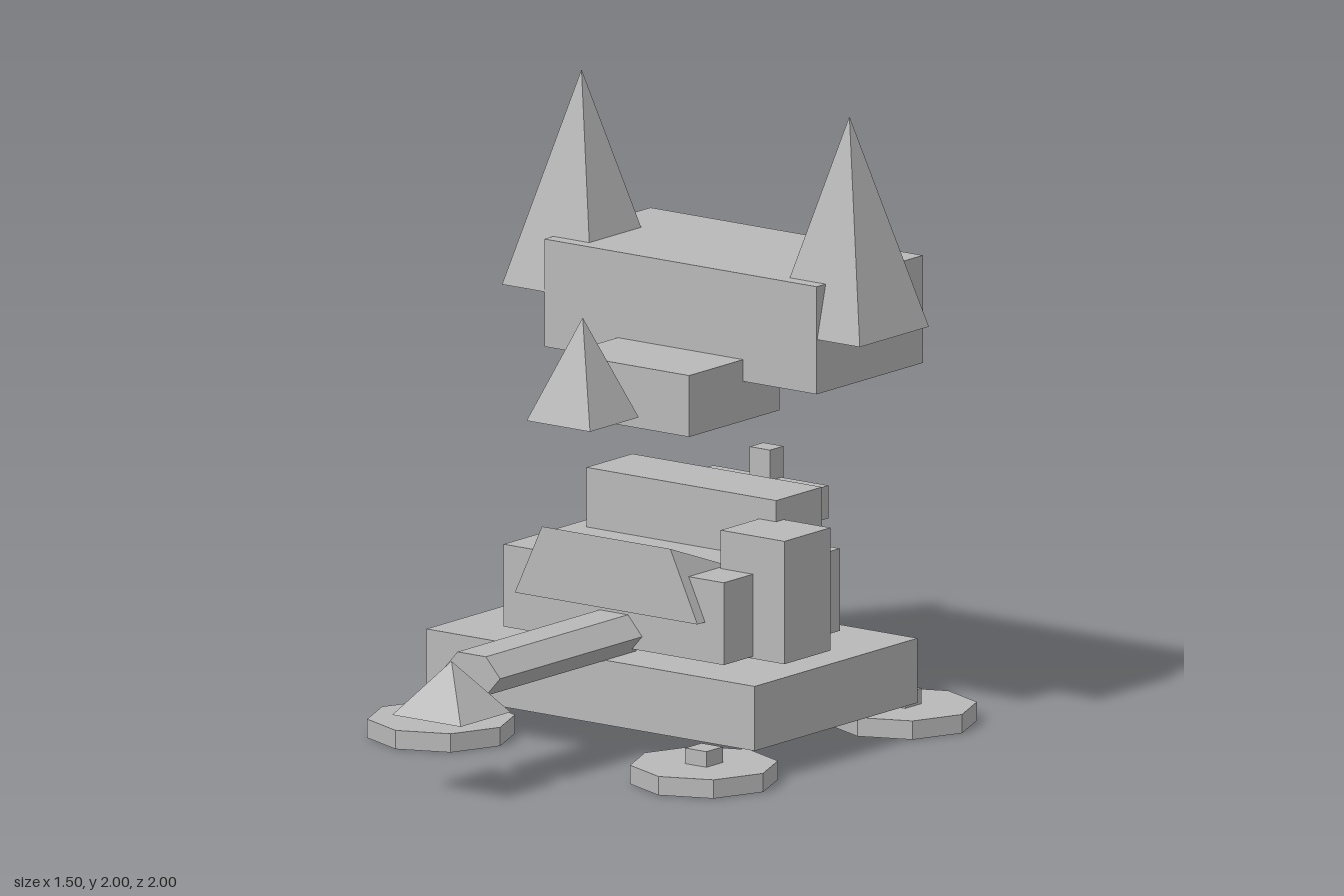
import * as THREE from 'three';

const grey = new THREE.MeshStandardMaterial({ color: 0xb8b8b8, flatShading: true });
grey.name = 'plain grey';

export function createModel() {
  const model = new THREE.Group();
  model.name = 'model';

  const add = (name, geometry) => {
    const mesh = new THREE.Mesh(geometry, grey);
    mesh.name = name;
    model.add(mesh);
    return mesh;
  };

  // Box given by its lowest and highest corner on each axis
  const box = (name, [x0, x1], [y0, y1], [z0, z1]) =>
    add(name, new THREE.BoxGeometry(x1 - x0, y1 - y0, z1 - z0))
      .position.set((x0 + x1) / 2, (y0 + y1) / 2, (z0 + z1) / 2);

  // Upright four-sided pyramid with its base aligned to the axes
  const pyramid = (name, x, z, halfX, halfZ, y0, y1) => {
    const geometry = new THREE.ConeGeometry(Math.SQRT2, y1 - y0, 4).rotateY(Math.PI / 4);
    geometry.scale(halfX, 1, halfZ);
    add(name, geometry).position.set(x, (y0 + y1) / 2, z);
  };

  // Four flat octagonal wheels, each with a small hub
  for (const x of [-0.518, 0.518]) {
    for (const z of [0.252, -0.767]) {
      add('wheel', new THREE.CylinderGeometry(0.233, 0.233, 0.06, 8)).position.set(x, 0.03, z);
      box('wheelHub', [x - 0.042, x + 0.042], [0.03, 0.11], [z - 0.042, z + 0.042]);
    }
  }

  // Stacked body
  box('base', [-0.647, 0.647], [0.1, 0.307], [-0.675, 0.16]);
  box('body', [-0.434, 0.434], [0.323, 0.587], [-0.553, 0.041]);
  box('sideBox', [0.307, 0.558], [0.316, 0.71], [-0.344, -0.108]);
  box('upperBody', [-0.374, 0.374], [0.48, 0.778], [-0.54, -0.305]);
  box('backSeam', [-0.365, 0.365], [0.472, 0.478], [-0.555, -0.55]);
  box('backBox', [-0.19, 0.265], [0.63, 0.735], [-0.715, -0.5]);
  box('chimney', [0, 0.08], [0.7, 0.833], [-0.725, -0.655]);

  // Sloped front plate: a box narrowed at the top, its back edge drawn down to a wedge
  const wedge = new THREE.BoxGeometry(2, 2, 2);
  const p = wedge.attributes.position;
  for (let i = 0; i < p.count; i++) {
    const front = p.getZ(i) > 0;
    const top = p.getY(i) > 0 && front;
    p.setXYZ(i, p.getX(i) * (top ? 0.253 : 0.36), top ? 0.677 : 0.45, front ? 0.08 : -0.52);
  }
  wedge.computeVertexNormals();
  add('frontPlate', wedge);

  // Flattened hexagonal rod with a pyramid tip
  const rod = new THREE.CylinderGeometry(0.112, 0.112, 0.767, 6).rotateX(Math.PI / 2);
  rod.rotateZ(Math.PI / 6).scale(1, 0.645, 1);
  add('rod', rod).position.set(0, 0.368, 0.385);
  pyramid('rodTip', 0, 0.872, 0.135, 0.128, 0.26, 0.428);

  // Head with muzzle, nose and horns
  box('muzzle', [-0.247, 0.247], [1.016, 1.213], [-0.487, -0.024]);
  box('head', [-0.537, 0.537], [1.143, 1.488], [-0.845, -0.301]);
  pyramid('nose', 0, 0.2, 0.125, 0.125, 1.08, 1.405);
  for (const side of [-1, 1]) pyramid('horn', side * 0.528, -0.48, 0.177, 0.177, 1.318, 2);

  return model;
}
